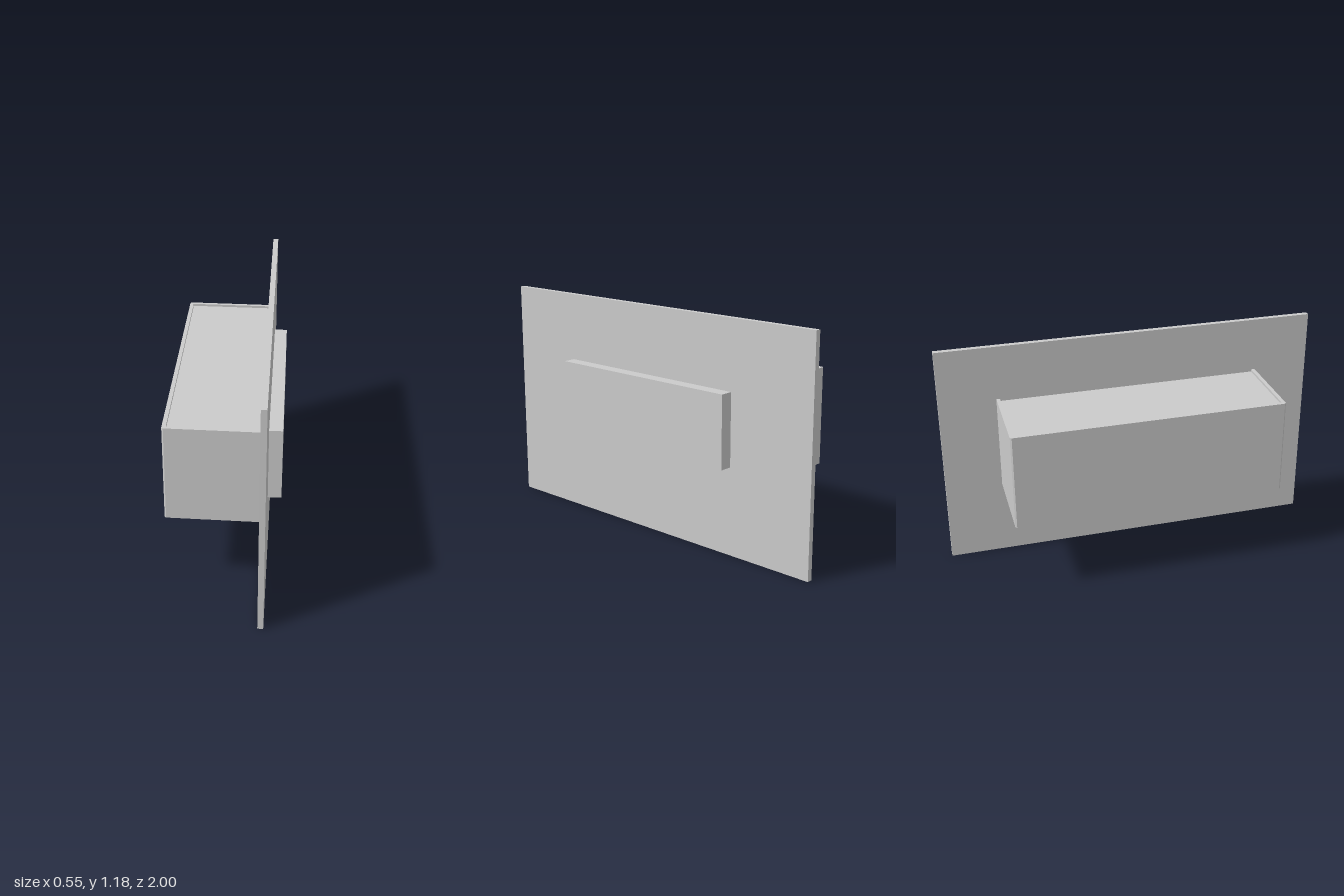
import * as THREE from 'three';

const material = new THREE.MeshStandardMaterial({ color: 0xcccccc, flatShading: true });

// Box given by its minimum and maximum corners
function block(name, min, max) {
  const size = max.map((v, i) => v - min[i]);
  const mesh = new THREE.Mesh(new THREE.BoxGeometry(...size), material);
  mesh.position.set(...min.map((v, i) => (v + max[i]) / 2));
  mesh.name = name;
  return mesh;
}

// Plan outline of [x, z] points raised from y0 to y1
function prism(name, outline, y0, y1) {
  const shape = new THREE.Shape(outline.map(([x, z]) => new THREE.Vector2(x, -z)));
  const geometry = new THREE.ExtrudeGeometry(shape, { depth: y1 - y0, bevelEnabled: false });
  geometry.rotateX(-Math.PI / 2).translate(0, y0, 0);
  const mesh = new THREE.Mesh(geometry, material);
  mesh.name = name;
  return mesh;
}

export function createModel() {
  const model = new THREE.Group();
  model.name = 'wallBox';

  // Thin upright panel and the raised block on its outer face
  model.add(block('panel', [0.182, 0, -1], [0.21, 1.18, 1]));
  model.add(block('raisedBlock', [0.21, 0.453, -0.527], [0.276, 0.826, 0.573]));

  // Slightly skewed housing: three walls with small chamfers, open to the panel
  const inner = [[0.182, -0.685], [-0.258, -0.694], [-0.258, 0.677], [0.182, 0.686]];
  const outer = [
    [0.182, 0.706], [-0.27, 0.696], [-0.278, 0.688],
    [-0.278, -0.706], [-0.27, -0.714], [0.182, -0.704],
  ];
  model.add(prism('housingWalls', [...outer, ...inner], 0.4, 0.895));

  // Core closing the housing, recessed below the wall rims
  model.add(prism('housingCore', inner, 0.404, 0.883));

  return model;
}
